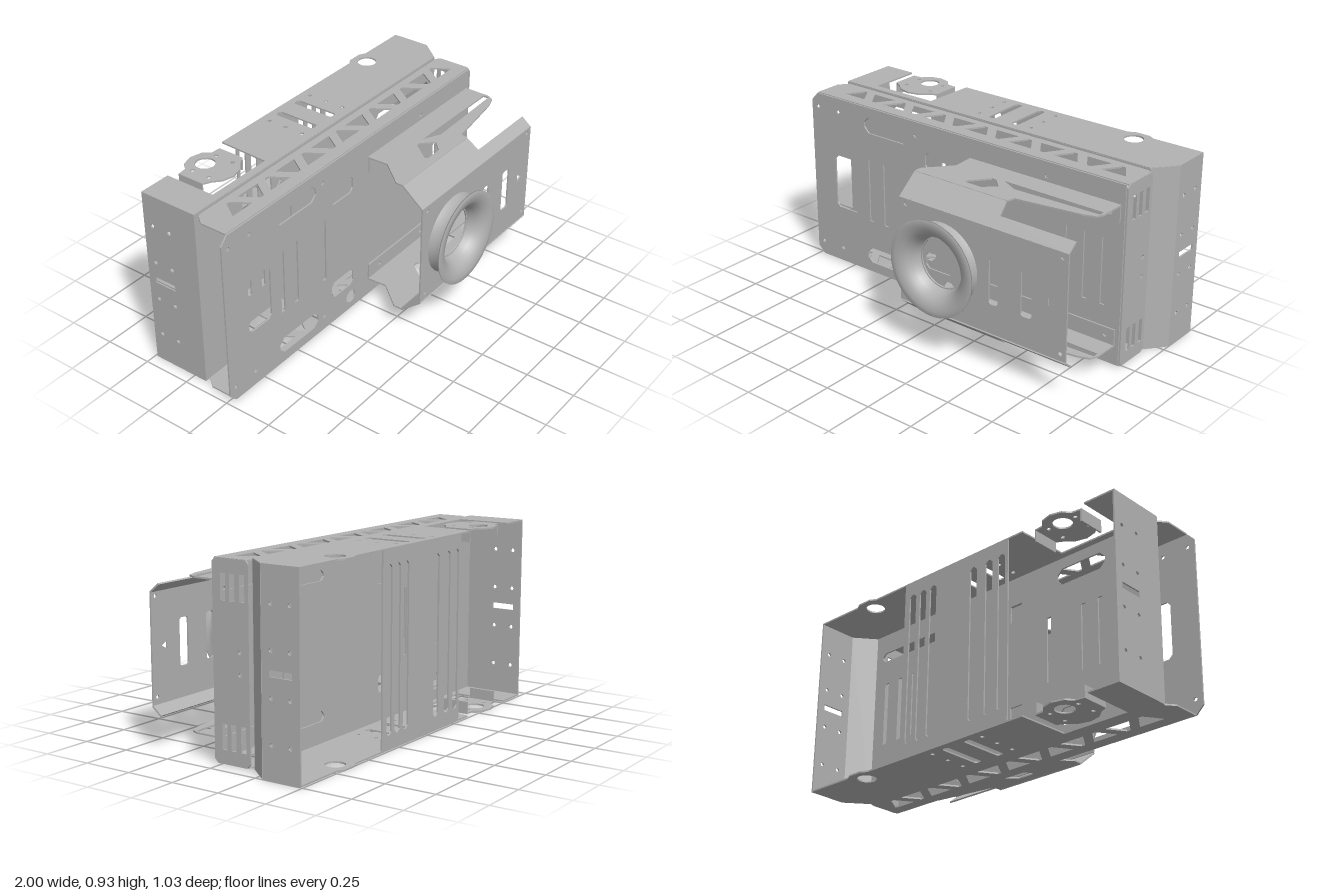
import * as THREE from 'three';

const T = 0.008; // sheet thickness
const MID = 0.466; // height of the horizontal symmetry plane
const X = [1, 0, 0], Y = [0, 1, 0], Z = [0, 0, 1];

// hole and outline helpers, all returning corner lists
const rect = (a, b, c, d) => [[a, b], [c, b], [c, d], [a, d]];
const oval = (a, b, c, d, k = 0.03) => [
  [a + k, b], [c - k, b], [c, b + k], [c, d - k], [c - k, d], [a + k, d], [a, d - k], [a, b + k]];
const circle = (x, y, r, n = 24) => Array.from({ length: n }, (_, i) => {
  const t = (i / n) * Math.PI * 2;
  return [x + r * Math.cos(t), y + r * Math.sin(t)];
});
const bolts = (xs, ys) => xs.flatMap((x) => ys.map((y) => circle(x, y, 0.011, 6)));
const flipY = (pts) => pts.map(([x, y]) => [x, 2 * MID - y]);
const both = (h) => [h, flipY(h)];

export function createModel() {
  const model = new THREE.Group();
  model.name = 'sheetMetalEnclosure';
  const metal = new THREE.MeshStandardMaterial({ color: 0xb2b2b2, side: THREE.DoubleSide });
  metal.name = 'grey metal';

  // sheet drawn in the plane of u and v, thickened along u x v
  function plate(parent, name, origin, u, v, outline, holes = []) {
    const toV = (p) => p.map(([a, b]) => new THREE.Vector2(a, b));
    const shape = new THREE.Shape(toV(outline));
    holes.forEach((h) => shape.holes.push(new THREE.Path(toV(h))));
    const geo = new THREE.ExtrudeGeometry(shape, { depth: T, bevelEnabled: false });
    const U = new THREE.Vector3(...u).normalize(), V = new THREE.Vector3(...v).normalize();
    const N = new THREE.Vector3().crossVectors(U, V);
    geo.applyMatrix4(new THREE.Matrix4().makeBasis(U, V, N).setPosition(...origin));
    const mesh = new THREE.Mesh(geo, metal);
    mesh.name = name;
    parent.add(mesh);
    return mesh;
  }
  const group = (name) => {
    const g = new THREE.Group();
    g.name = name;
    model.add(g);
    return g;
  };

  // openings shared by both tray floors
  const slits = [-0.605, -0.505, -0.295, 0.62, 0.72, 0.82].map((x) =>
    rect(x - 0.013, 0.3, x + 0.013, 0.64));
  const handles = both(oval(-0.64, 0.785, -0.35, 0.87));

  // ---- front tray ----
  const front = group('frontTray');
  plate(front, 'frontPlate', [0, 0, 0.02], X, Y,
    [[-0.96, 0.01], [0.92, 0.01], [0.92, 0.922], [-0.96, 0.922], [-1, 0.88], [-1, 0.05]],
    [
      oval(-0.85, 0.32, -0.69, 0.61, 0.02),
      ...slits, ...handles,
      ...both(oval(-0.24, 0.69, -0.07, 0.78, 0.02)),
      circle(-0.09, 0.08, 0.035, 16),
      ...both(oval(0.47, 0.77, 0.88, 0.82, 0.015)),
      ...bolts([-0.96, -0.82, -0.3, 0.49], [0.085, 0.85]),
    ]);
  // truss cut-outs: thirteen triangles alternating in direction
  const truss = Array.from({ length: 13 }, (_, i) => {
    const x = -0.77 + i * 0.131, s = i % 2 ? -1 : 1;
    const z = (d) => -0.088 + s * d;
    return [[x - 0.068, z(0.043)], [x + 0.068, z(0.043)], [x + 0.01, z(-0.043)], [x - 0.01, z(-0.043)]];
  });
  const trussOutline = [[-0.96, 0.02], [0.925, 0.02], [0.93, 0], [0.93, -0.15],
    [0.91, -0.17], [-0.92, -0.17], [-0.96, -0.12]];
  plate(front, 'topTruss', [0, 0.926, 0], X, Z, trussOutline, truss);
  plate(front, 'bottomTruss', [0, 0.014, 0], X, Z, trussOutline, truss);
  const vents = [-0.03, -0.08, -0.135].flatMap((z) => both(rect(z - 0.014, 0.74, z + 0.014, 0.86)));
  plate(front, 'frontTraySide', [0.932, 0, 0], Z, Y, oval(-0.17, 0.01, 0.028, 0.924, 0.015),
    [...vents, ...bolts([-0.12], [0.42, 0.52])]);

  // ---- back tray ----
  const back = group('backTray');
  plate(back, 'backTrayFloor', [0, 0, -0.186], X, Y, rect(-0.94, 0.002, 0.912, 0.93),
    [...slits, ...handles,
      ...both(rect(-0.125, 0.69, -0.05, 0.78)),
      ...both(oval(0.4, 0.77, 0.86, 0.82, 0.02))]);
  const wingOutline = [
    [-0.94, -0.18], [0.91, -0.18], [1, -0.29], [1, -0.49], [0.73, -0.49], [0.7, -0.508],
    [0.62, -0.508], [0.59, -0.49], [-0.4, -0.49], [-0.41, -0.22], [-0.77, -0.22], [-0.77, -0.49], [-0.94, -0.49]];
  const wingHoles = [
    circle(0.66, -0.43, 0.048),
    oval(-0.05, -0.455, -0.01, -0.225, 0.01),
    oval(0.09, -0.455, 0.13, -0.225, 0.01),
    ...bolts([-0.115, 0.2], [-0.44, -0.34, -0.24]),
  ];
  plate(back, 'topWing', [0, 0.934, 0], X, Z, wingOutline, wingHoles);
  plate(back, 'bottomWing', [0, T, 0], X, Z, wingOutline, wingHoles);

  // end walls with a cable slot and bolt holes
  const wallHoles = [rect(-0.45, 0.455, -0.33, 0.485), ...bolts([-0.44, -0.34], [0.16, 0.365, 0.57, 0.77])];
  plate(back, 'leftEndWall', [1, 0, 0], Z, Y, rect(-0.49, 0.002, -0.29, 0.932), wallHoles);
  plate(back, 'rightEndWall', [-0.932, 0, 0], Z, Y, rect(-0.49, 0.002, -0.18, 0.932), wallHoles);
  plate(back, 'slopedEndWall', [0.905, 0, -0.184], [0.09, 0, -0.11], Y, rect(0, 0.002, 0.142, 0.932));

  // slotted bridge across the open back
  plate(back, 'backBridge', [0, 0, -0.49], X, Y, rect(-0.31, 0.002, 0.375, 0.932),
    [-0.27, -0.19, -0.09, 0.18, 0.25, 0.32].map((x) => oval(x - 0.022, 0.07, x + 0.022, 0.86, 0.015)));

  // ---- ring brackets in the wing notches ----
  const ringOutline = [
    [-0.73, -0.46], [-0.68, -0.465], [-0.65, -0.5], [-0.59, -0.516], [-0.53, -0.5], [-0.5, -0.465], [-0.45, -0.46],
    [-0.45, -0.32], [-0.49, -0.3], [-0.53, -0.265], [-0.59, -0.25], [-0.65, -0.265], [-0.69, -0.3], [-0.73, -0.32]];
  const ringHoles = [circle(-0.59, -0.425, 0.048), ...bolts([-0.67, -0.51], [-0.43, -0.33])];
  for (const top of [true, false]) {
    const bracket = group(top ? 'topRingBracket' : 'bottomRingBracket');
    plate(bracket, 'bracketRing', [0, top ? 0.934 : T, 0], X, Z, ringOutline, ringHoles);
    const [a, b] = top ? [0.87, 0.93] : [0.002, 0.062];
    for (const x of [-0.722, -0.45])
      plate(bracket, 'bracketLip', [x, 0, 0], Z, Y, rect(-0.46, a, -0.32, b));
  }

  // ---- raised cover ----
  const cover = group('cover');
  const sideOutline = [
    [0.045, 0.03], [0.05, 0.14], [-0.06, 0.27], [-0.06, 0.31], [0.48, 0.31],
    [0.49, 0.27], [0.82, 0.22], [0.88, 0.2], [0.9, 0.16], [0.9, 0.03]];
  const sideHoles = [
    [[0.2, 0.25], [0.275, 0.155], [0.3, 0.155], [0.355, 0.21], [0.3, 0.265], [0.21, 0.265]],
    [[0.34, 0.145], [0.885, 0.145], [0.885, 0.175], [0.43, 0.19]]];
  const slopeOutline = [[-0.06, 0], [0.48, 0], [0.49, 0.078], [0.9, 0.078], [0.9, 0.142], [-0.06, 0.142]];
  for (const top of [true, false]) {
    const s = top ? 1 : -1;
    const y = (d) => MID + s * d;
    plate(cover, 'coverSide', [0, y(0.358) + (top ? 0 : T), 0], X, Z, sideOutline, sideHoles);
    plate(cover, 'coverSlope', [0, y(0.356), 0.31], X, [0, -0.09 * s, 0.11], slopeOutline);
    const foot = rect(0.05, y(0.27), 0.9, y(0.358));
    plate(cover, 'coverFoot', [0, 0, 0.03], X, Y, foot, bolts([0.14, 0.5, 0.85], [y(0.31)]));
  }
  plate(cover, 'coverFace', [0, 0, 0.415], X, Y, rect(-0.06, 0.2, 0.9, 0.732), [
    circle(0.2, 0.47, 0.125, 32),
    oval(0.47, 0.35, 0.52, 0.58, 0.01),
    oval(0.65, 0.35, 0.71, 0.58, 0.01),
    circle(0.81, 0.47, 0.024, 3),
    ...bolts([-0.02, 0.87], [0.235, 0.705]),
  ]);

  // ---- flared air inlet ----
  const profile = [
    [0.205, 0.42], [0.197, 0.45], [0.198, 0.48], [0.205, 0.5], [0.24, 0.503], [0.24, 0.51],
    [0.215, 0.51], [0.185, 0.503], [0.16, 0.485], [0.142, 0.46], [0.132, 0.43], [0.13, 0.42],
  ].map(([r, z]) => new THREE.Vector2(r, z));
  const inlet = new THREE.Mesh(new THREE.LatheGeometry(profile, 48).rotateX(Math.PI / 2), metal);
  inlet.name = 'airInlet';
  inlet.position.set(0.2, 0.47, 0);
  model.add(inlet);

  return model;
}
